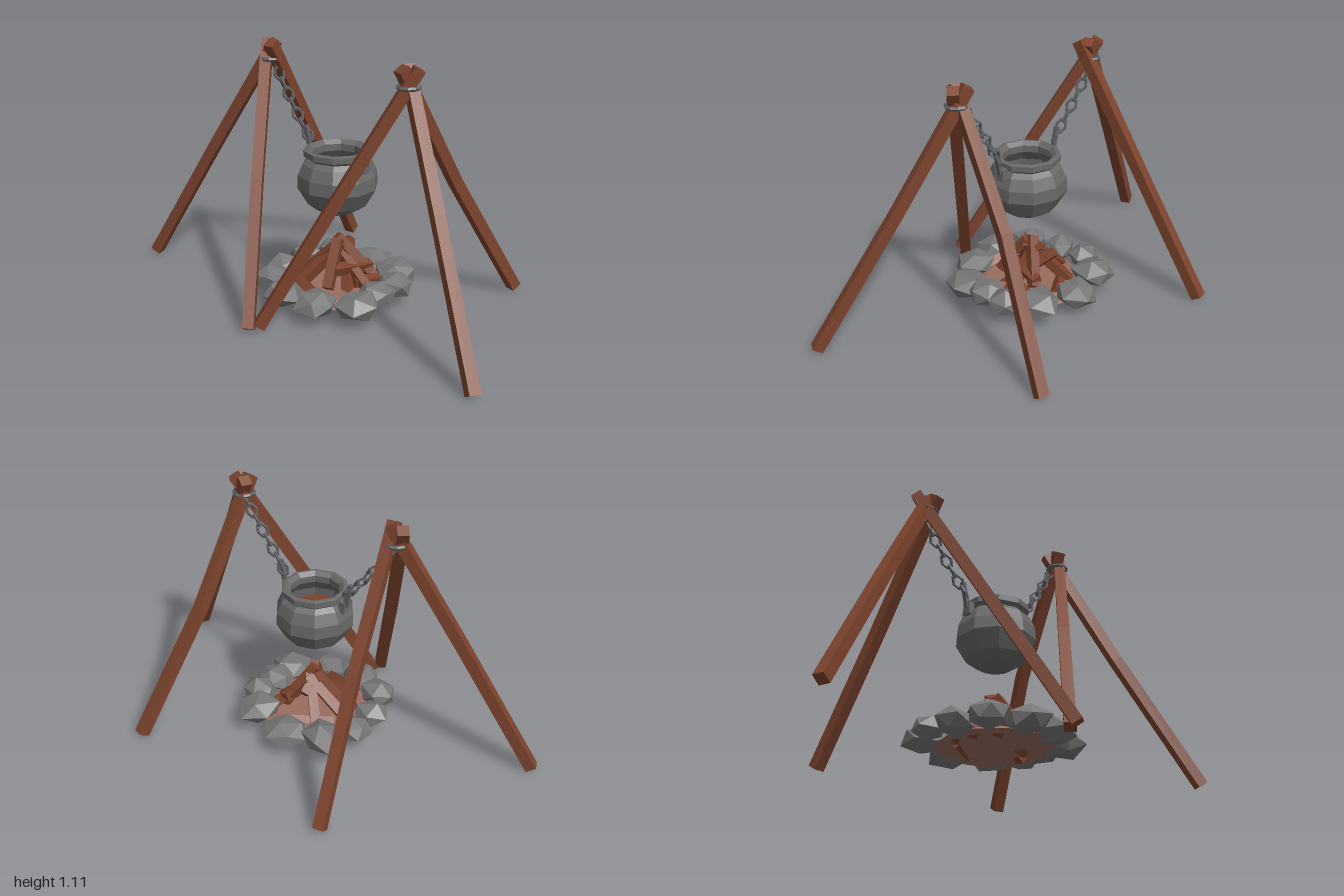
import * as THREE from 'three';

const flat = (color, name) => {
  const m = new THREE.MeshStandardMaterial({ color, flatShading: true });
  m.name = name;
  return m;
};
const V = (x, y, z) => new THREE.Vector3(x, y, z);

// small seeded random generator
function seeded(seed) {
  return () => (seed = (seed * 16807) % 2147483647) / 2147483647;
}

// square timber bent through a list of points
function timber(points, size, roll = 0) {
  const n = points.length - 1;
  const geo = new THREE.BoxGeometry(size, 1, size, 1, n, 1);
  const pos = geo.attributes.position;
  const t = points[n].clone().sub(points[0]).normalize();
  const u = V(0, 1, 0).cross(t).normalize().applyAxisAngle(t, roll);
  const v = u.clone().cross(t);
  for (let i = 0; i < pos.count; i++) {
    const k = Math.round((pos.getY(i) + 0.5) * n);
    const p = points[k].clone().addScaledVector(u, pos.getX(i)).addScaledVector(v, pos.getZ(i));
    pos.setXYZ(i, p.x, p.y, p.z);
  }
  geo.computeVertexNormals();
  return geo;
}

// irregular flattened rock; shared corners move together
function rock(radius, height, rand) {
  const geo = new THREE.IcosahedronGeometry(1, 0);
  const turn = new THREE.Matrix4().makeRotationFromEuler(new THREE.Euler(rand() * 6, rand() * 6, rand() * 6));
  geo.applyMatrix4(turn);
  const pos = geo.attributes.position;
  const moved = {};
  for (let i = 0; i < pos.count; i++) {
    const p = V(pos.getX(i), pos.getY(i), pos.getZ(i));
    const key = p.toArray().map(c => Math.round(c * 50)).join();
    moved[key] ??= 0.88 + rand() * 0.32;
    p.multiplyScalar(moved[key]);
    pos.setXYZ(i, p.x * radius, p.y * height, p.z * radius);
  }
  geo.computeVertexNormals();
  return geo;
}

export function createModel() {
  const wood = flat(0x7c432d, 'wood');
  const stone = flat(0x767676, 'stone');
  const iron = flat(0x686868, 'iron');
  const chainMetal = flat(0x5e6164, 'chain metal');
  const ash = flat(0x9a6c60, 'ash');

  const root = new THREE.Group();
  root.name = 'campfire';
  const add = (parent, name, geo, mat) => {
    const m = new THREE.Mesh(geo, mat);
    m.name = name;
    parent.add(m);
    return m;
  };
  const potX = -0.05, potZ = 0.017;

  // two tripods: foot, slight bend in the middle, top
  const tripods = {
    frontTripod: [
      [V(-0.345, 0.02, 0.965), V(-0.17, 0.59, 0.645), V(-0.025, 1.1, 0.365)],
      [V(0.545, 0.02, 0.545), V(0.23, 0.57, 0.43), V(-0.085, 1.1, 0.385)],
      [V(-0.5, 0.02, -0.01), V(-0.265, 0.57, 0.215), V(-0.035, 1.1, 0.435)],
    ],
    backTripod: [
      [V(-0.285, 0.02, -0.97), V(-0.16, 0.59, -0.65), V(-0.045, 1.1, -0.355)],
      [V(0.56, 0.02, -0.455), V(0.24, 0.57, -0.39), V(-0.085, 1.1, -0.345)],
      [V(-0.55, 0.02, -0.02), V(-0.29, 0.57, -0.225), V(-0.035, 1.1, -0.415)],
    ],
  };
  for (const [name, legs] of Object.entries(tripods)) {
    const g = new THREE.Group();
    g.name = name;
    root.add(g);
    legs.forEach((pts, i) => add(g, `leg${i + 1}`, timber(pts, 0.048), wood));
    // metal band tying the legs together
    const band = add(g, 'band', new THREE.TorusGeometry(0.043, 0.009, 5, 10), chainMetal);
    band.rotation.x = Math.PI / 2;
    band.position.set(-0.055, 1.025, name === 'frontTripod' ? 0.4 : -0.375);
  }

  // cauldron, outside then rim then inside
  const profile = [
    [0, 0.41], [0.07, 0.414], [0.13, 0.452], [0.175, 0.53], [0.172, 0.585], [0.15, 0.635],
    [0.13, 0.655], [0.147, 0.668], [0.147, 0.692], [0.128, 0.697], [0.108, 0.68],
    [0.108, 0.65], [0.145, 0.6], [0.15, 0.55], [0, 0.54],
  ].map(([r, y]) => new THREE.Vector2(r, y));
  const pot = new THREE.Group();
  pot.name = 'cauldron';
  pot.position.set(potX, 0, potZ);
  root.add(pot);
  add(pot, 'cauldronBody', new THREE.LatheGeometry(profile, 10, Math.PI / 10), iron);
  const stew = add(pot, 'stew', new THREE.CircleGeometry(0.143, 10), wood);
  stew.rotation.x = -Math.PI / 2;
  stew.position.y = 0.565;

  // lugs and chains, front and back
  for (const s of [1, -1]) {
    const g = new THREE.Group();
    g.name = s > 0 ? 'frontChain' : 'backChain';
    root.add(g);
    const lug = add(g, 'lug', new THREE.BoxGeometry(0.038, 0.055, 0.03), iron);
    lug.position.set(potX, 0.645, potZ + s * 0.15);
    const hook = [V(potX, 0.65, potZ + s * 0.16), V(potX, 0.7, potZ + s * 0.17), V(potX, 0.76, potZ + s * 0.185)];
    add(g, 'hook', timber(hook, 0.018), chainMetal);
    const path = new THREE.QuadraticBezierCurve3(
      V(potX, 0.7, potZ + s * 0.16), V(-0.045, 0.8, s * 0.235), V(-0.035, 1.02, s * 0.385));
    const count = 8;
    for (let i = 0; i < count; i++) {
      const f = (i + 0.5) / count;
      const link = add(g, 'link', new THREE.TorusGeometry(0.021, 0.0065, 4, 6), chainMetal);
      link.scale.set(1, 1.45, 1);
      link.position.copy(path.getPointAt(f));
      link.quaternion.setFromUnitVectors(V(0, 1, 0), path.getTangentAt(f));
      link.rotateY((i % 2 ? 1 : -1) * Math.PI / 4);
    }
  }

  // ring of stones: x, z, radius
  const rand = seeded(71);
  const ring = new THREE.Group();
  ring.name = 'stoneRing';
  root.add(ring);
  [
    [0.16, -0.19, 0.095], [0.215, -0.02, 0.095], [0.16, 0.175, 0.1], [0.06, 0.255, 0.08],
    [-0.06, 0.255, 0.085], [-0.19, 0.25, 0.095], [-0.295, 0.12, 0.09], [-0.315, -0.06, 0.095],
    [-0.245, -0.2, 0.085], [-0.11, -0.25, 0.08], [0.035, -0.265, 0.08],
  ].forEach(([x, z, r]) => {
    const m = add(ring, 'stone', rock(r, 0.056, rand), stone);
    m.position.set(x, 0.098 + (rand() - 0.5) * 0.016, z);
  });

  // ash bed, a low closed mound
  const bed = add(root, 'ashBed', new THREE.CylinderGeometry(0.2, 0.25, 0.025, 12), ash);
  bed.position.set(potX, 0.068, 0.01);

  // firewood stacked to a peak, with a few loose pieces
  const fire = new THREE.Group();
  fire.name = 'firewood';
  root.add(fire);
  [
    [-0.17, 0.1, 0.07, -0.05, 0.28, 0.02], [0.07, 0.11, 0.1, -0.04, 0.285, 0.0],
    [-0.11, 0.05, 0.13, 0.07, 0.235, -0.03], [0.1, 0.07, -0.1, -0.02, 0.25, 0.02],
    [-0.12, 0.06, -0.17, -0.04, 0.27, 0.03], [-0.03, 0.06, -0.19, 0.0, 0.25, 0.02],
    [-0.02, 0.05, 0.19, -0.03, 0.25, -0.03], [-0.13, 0.17, 0.06, 0.08, 0.14, 0.09],
    [-0.25, 0.09, 0.11, -0.2, 0.11, -0.08], [0.13, 0.08, 0.16, -0.05, 0.1, 0.11],
    [-0.2, 0.06, -0.1, -0.04, 0.23, 0.0], [0.02, 0.07, -0.14, 0.14, 0.08, 0.03],
  ].forEach(([a, b, c, d, e, f], i) =>
    add(fire, 'log', timber([V(a, b, c), V(d, e, f)], 0.042, i * 0.5), wood));

  return root;
}
